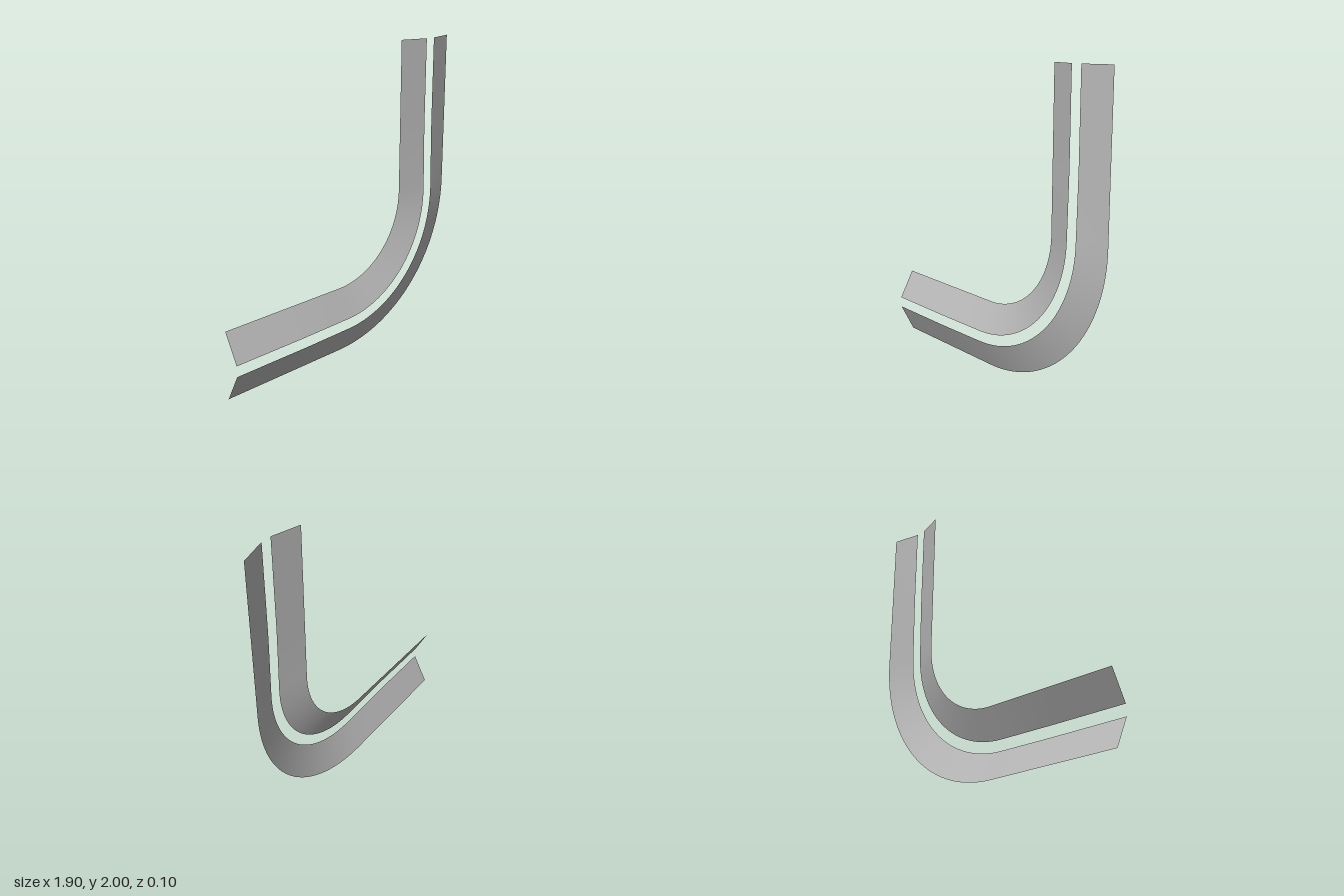
import * as THREE from 'three';

const BEND = Math.PI / 2;
const CX = -0.05, CY = 1;          // shared centre of the bend
const RUN_IN = 0.9, RUN_OUT = 1;   // straight lengths before and after it
const GROOVE_R = 0.775;            // middle of the gap between the strips
const BACK_Z = -0.05;

// Stations along the path: lead-in run, quarter bend, upright run
function stations() {
  const list = [];
  for (let i = 0; i < 18; i++) list.push({ lead: RUN_IN * (1 - i / 18), angle: 0, rise: 0 });
  for (let i = 0; i <= 40; i++) list.push({ lead: 0, angle: BEND * i / 40, rise: 0 });
  for (let i = 1; i <= 20; i++) list.push({ lead: 0, angle: BEND, rise: RUN_OUT * i / 20 });
  return list;
}

// Point on an edge running at radius r around the bend
function edgePoint(st, r, z) {
  return [CX + r * Math.sin(st.angle) - st.lead, CY - r * Math.cos(st.angle) + st.rise, z];
}

// The ridge beside the gap stands proud at the lead-in and eases down to z = 0
function ridgeZ(st) {
  const s = RUN_IN - st.lead + 0.81 * st.angle + st.rise;
  const t = THREE.MathUtils.clamp((s - 0.5) / 2.1, 0, 1);
  const ease = 0.75 * t + 0.25 * t * t * (3 - 2 * t);
  return 0.05 * (1 - ease);
}

// Ribbon between an outer and an inner radius
function strip(name, outerR, innerR, material) {
  const pos = [], index = [];
  const path = stations();
  path.forEach((st, i) => {
    const z = ridgeZ(st);
    pos.push(...edgePoint(st, outerR, outerR > GROOVE_R ? BACK_Z : z));
    pos.push(...edgePoint(st, innerR, innerR > GROOVE_R ? z : BACK_Z));
    if (i < path.length - 1) {
      const a = i * 2;
      index.push(a, a + 2, a + 1, a + 1, a + 2, a + 3);
    }
  });
  const geometry = new THREE.BufferGeometry();
  geometry.setAttribute('position', new THREE.Float32BufferAttribute(pos, 3));
  geometry.setIndex(index);
  geometry.computeVertexNormals();
  const mesh = new THREE.Mesh(geometry, material);
  mesh.name = name;
  return mesh;
}

export function createModel() {
  const group = new THREE.Group();
  group.name = 'curvedStrips';
  const grey = new THREE.MeshStandardMaterial({ color: 0xb8b8b8, side: THREE.DoubleSide });
  grey.name = 'light grey';
  group.add(strip('outerStrip', 1, 0.81, grey));
  group.add(strip('innerStrip', 0.74, 0.555, grey));
  return group;
}
